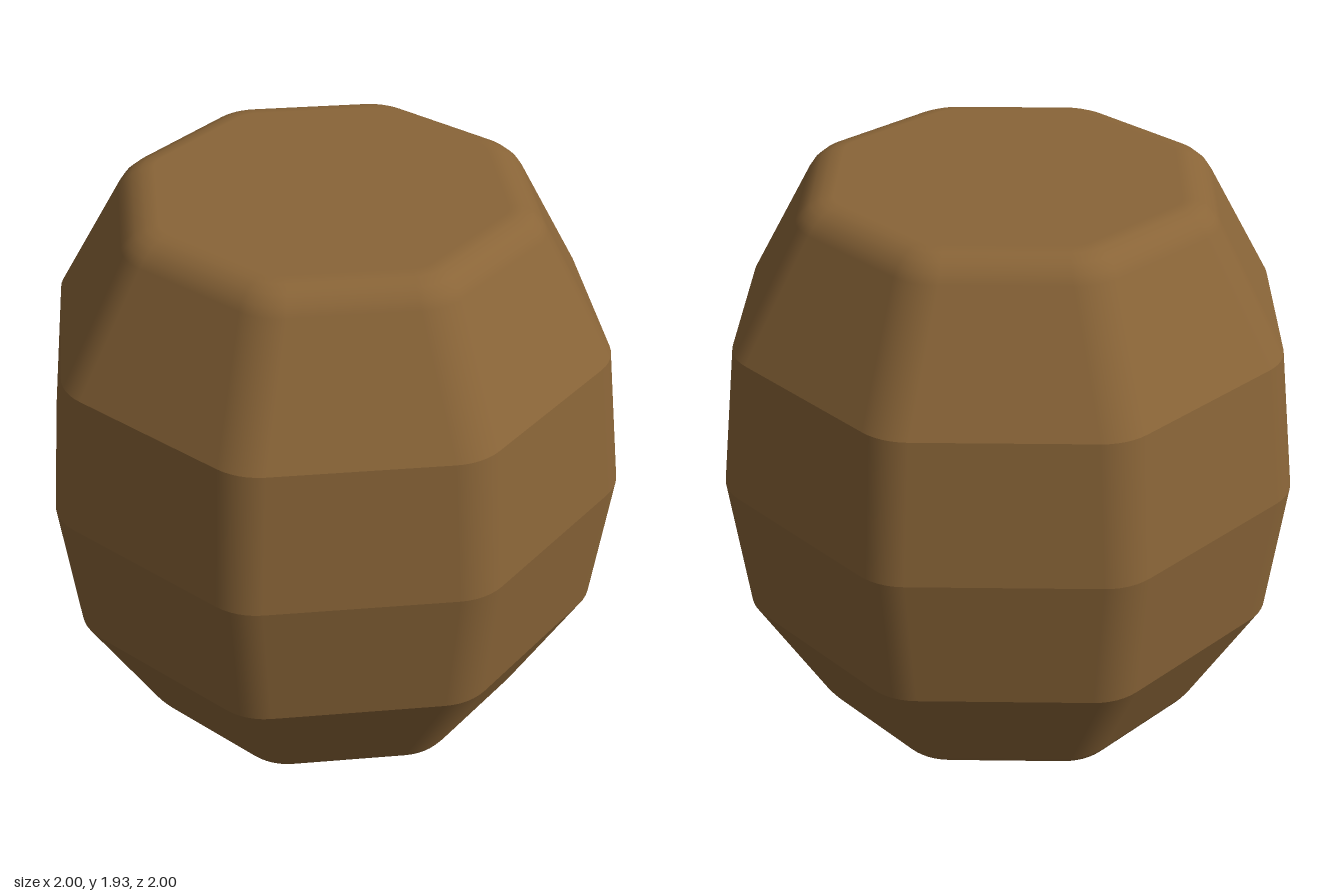
import * as THREE from 'three';

const MID = 0.967, SIDES = 8, ARC = 6, STEP = Math.PI * 2 / SIDES;

// Rings from the middle upward: [corner radius, height above middle, corner rounding, normal elevation in degrees].
// Each strip keeps its own normals, so strips meet in a crisp edge.
const STRIPS = [
  // belly
  [[1.0, 0, 0.2, 6.5], [0.942, 0.483, 0.2, 6.5]],
  // shoulder, running smoothly over the rounded rim into the flat end
  [[0.942, 0.483, 0.2, 27], [0.71, 0.893, 0.19, 27], [0.69, 0.922, 0.18, 40], [0.66, 0.947, 0.16, 56],
    [0.625, 0.962, 0.13, 73], [0.585, 0.967, 0.09, 90], [0, 0.967, 0, 90]],
];

// Octagon with rounded corners: [x, z, normal angle] for each point
function ringPoints(r, rho) {
  const points = [];
  for (let s = 0; s < SIDES; s++) {
    const corner = s * STEP;
    for (let i = 0; i <= ARC; i++) {
      const a = corner + (i / ARC - 0.5) * STEP;
      points.push([
        (r - rho) * Math.cos(corner) + rho * Math.cos(a),
        (r - rho) * Math.sin(corner) + rho * Math.sin(a), a]);
    }
  }
  return points;
}

// Skin one strip; sign -1 mirrors it to the lower half
function stripGeometry(rings, sign) {
  const position = [], normal = [], index = [];
  const n = SIDES * (ARC + 1);
  rings.forEach(([r, h, rho, elevation], k) => {
    const e = THREE.MathUtils.degToRad(elevation);
    for (const [x, z, a] of ringPoints(r, rho)) {
      position.push(x, MID + sign * h, z);
      normal.push(Math.cos(e) * Math.cos(a), sign * Math.sin(e), Math.cos(e) * Math.sin(a));
    }
    if (k === 0) return;
    for (let i = 0; i < n; i++) {
      const j = (i + 1) % n;
      const a = (k - 1) * n + i, b = (k - 1) * n + j, c = k * n + i, d = k * n + j;
      if (sign > 0) index.push(a, c, b, b, c, d);
      else index.push(a, b, c, b, d, c);
    }
  });
  const geometry = new THREE.BufferGeometry();
  geometry.setAttribute('position', new THREE.Float32BufferAttribute(position, 3));
  geometry.setAttribute('normal', new THREE.Float32BufferAttribute(normal, 3));
  geometry.setIndex(index);
  return geometry;
}

export function createModel() {
  const group = new THREE.Group();
  group.name = 'barrel';
  const wood = new THREE.MeshStandardMaterial({ color: 0x8a6538 });
  for (const sign of [1, -1]) {
    STRIPS.forEach((rings, i) => {
      const mesh = new THREE.Mesh(stripGeometry(rings, sign), wood);
      mesh.name = (sign > 0 ? 'upper' : 'lower') + (i === 0 ? 'Belly' : 'Shoulder');
      group.add(mesh);
    });
  }
  return group;
}
